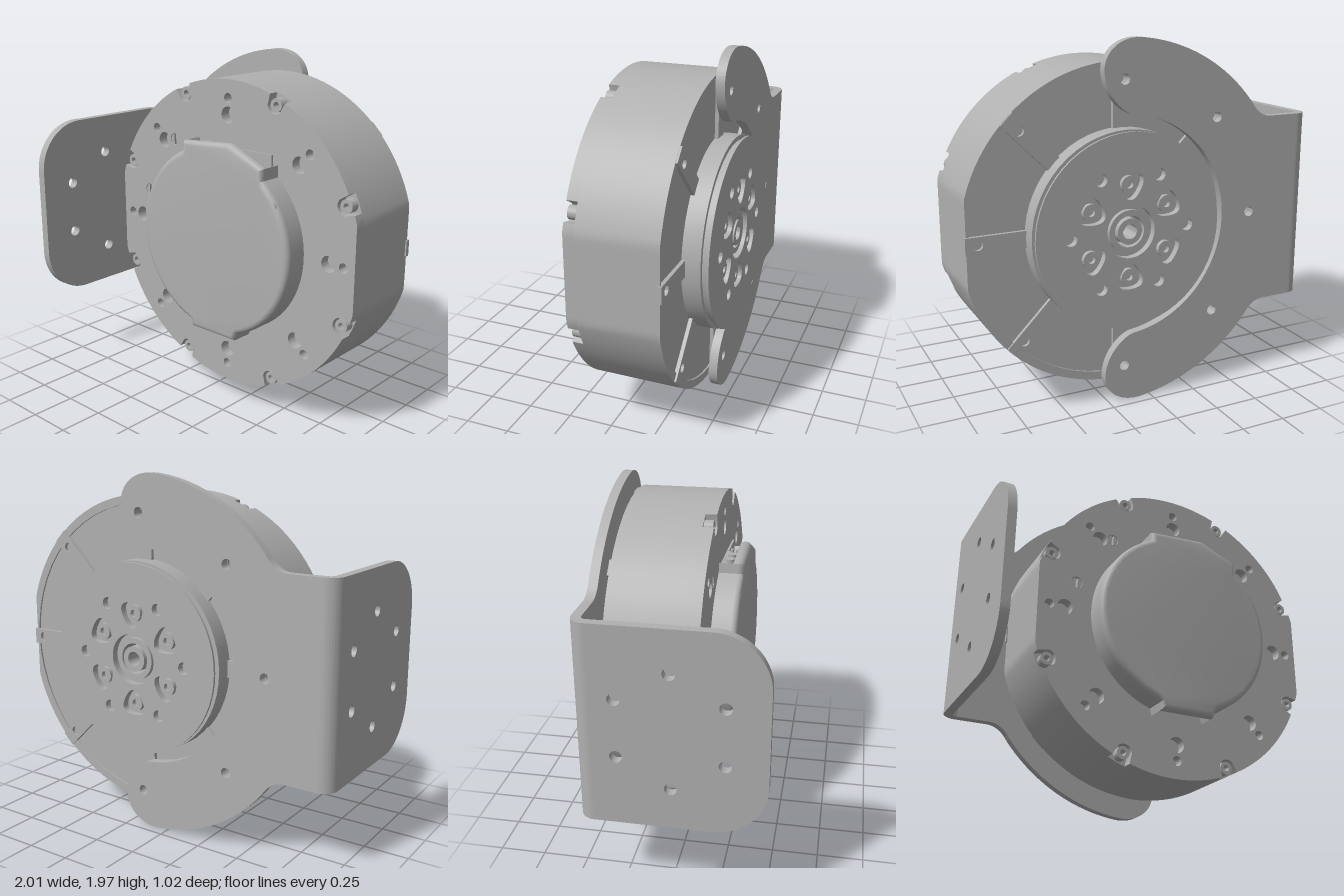
import * as THREE from 'three';
import { toCreasedNormals } from 'three/addons/utils/BufferGeometryUtils.js';

const PI = Math.PI, RAD = PI / 180;
const grey = new THREE.MeshStandardMaterial({ color: 0xb0b0b0 });
grey.name = 'plain grey';

const polar = (r, a) => new THREE.Vector2(r * Math.cos(a), r * Math.sin(a));
const eight = [0, 1, 2, 3, 4, 5, 6, 7].map(i => i * PI / 4);
const six = [0, 1, 2, 3, 4, 5].map(i => i * PI / 3);

function add(parent, name, geometry) {
  const mesh = new THREE.Mesh(geometry, grey);
  mesh.name = name;
  parent.add(mesh);
  return mesh;
}

// Flat outline raised from z0 to z1, smooth round its curves
function slab(shape, z0, z1, bevel = 0) {
  const geo = new THREE.ExtrudeGeometry(shape, {
    depth: z1 - z0 - 2 * bevel, curveSegments: 28, bevelEnabled: bevel > 0,
    bevelThickness: bevel, bevelSize: bevel, bevelOffset: -bevel, bevelSegments: 4,
  });
  geo.translate(0, 0, z0 + bevel);
  return toCreasedNormals(geo, 0.6);
}

function circle(p, r, Type = THREE.Path) {
  const c = new Type();
  c.absarc(p.x, p.y, r, 0, 2 * PI, false);
  return c;
}

// Round part along z, centred on p
function disc(parent, name, p, r, z0, z1, sides = 24) {
  const geo = new THREE.CylinderGeometry(r, r, z1 - z0, sides);
  geo.rotateX(PI / 2);
  geo.translate(p.x, p.y, (z0 + z1) / 2);
  return add(parent, name, geo);
}

// Washer shape part
function ring(parent, name, p, outer, inner, z0, z1) {
  const s = circle(p, outer, THREE.Shape);
  s.holes.push(circle(p, inner));
  return add(parent, name, slab(s, z0, z1));
}

// Round motor outline with two side flats and optional screw notches
function bodyOutline(notched) {
  const pts = [], n = 720, R = 0.87, rs = 0.832, rn = 0.05;
  for (let i = 0; i < n; i++) {
    const a = i / n * 2 * PI;
    let r = Math.min(R, 0.8375 / Math.abs(Math.cos(a)));
    const step = PI / 4, d = (((a % step) + step) % step) - step / 2;
    const t = rs * Math.sin(d);
    const cut = notched && Math.abs(t) < rn;
    if (cut) r = rs - Math.sqrt(rn * rn - t * t);
    if (cut || i % 4 === 0 || Math.abs(d) < 0.08) pts.push(polar(r, a));
  }
  return new THREE.Shape(pts);
}

// Rounded triangular pocket pointing at the axis
function pocket(a) {
  const c = polar(0.25, a);
  const k = [60, 180, 300].map(t => polar(0.125, a + t * RAD).add(c));
  const mid = k.map((v, i) => v.clone().add(k[(i + 1) % 3]).multiplyScalar(0.5));
  const p = new THREE.Path();
  p.moveTo(mid[2].x, mid[2].y);
  for (let i = 0; i < 3; i++) p.quadraticCurveTo(k[i].x, k[i].y, mid[i].x, mid[i].y);
  return p;
}

function buildBody(motor) {
  add(motor, 'motorBody', slab(bodyOutline(false), -0.375, 0.05));
  const plate = bodyOutline(true);
  const slotted = [new THREE.Vector2(-0.4, 0.495), new THREE.Vector2(-0.615, 0.165)];
  for (const a of eight) {
    plate.holes.push(circle(polar(0.68, a), 0.045), circle(polar(0.77, a), 0.027));
  }
  for (const p of slotted) plate.holes.push(circle(p, 0.034));
  add(motor, 'frontPlate', slab(plate, 0.05, 0.11));

  // Slotted plugs, each two halves with a gap
  for (const p of slotted) {
    for (const side of [0, PI]) {
      const half = new THREE.Shape();
      half.absarc(0, 0, 0.031, side - PI / 2 + 0.2, side + PI / 2 - 0.2, false);
      add(motor, 'slottedPlug', slab(half, 0.05, 0.107)).position.set(p.x, p.y, 0);
    }
  }
  for (const a of eight) {
    // Front rim screws
    const p = polar(0.828, a + PI / 8);
    ring(motor, 'rimScrew', p, 0.036, 0.017, 0.05, 0.1);
    // Raised rear ribs with their screw holes
    const rib = new THREE.Shape();
    const end = a % PI < 0.01 ? 0.845 : 0.868;
    rib.moveTo(0.5, -0.045);
    rib.lineTo(end, -0.045);
    rib.lineTo(end, 0.045);
    rib.lineTo(0.5, 0.045);
    rib.holes.push(circle(polar(0.78, 0), 0.026));
    add(motor, 'rearRib', slab(rib, -0.395, -0.37)).rotation.z = a;
  }
  // Raised rear rim between the ribs
  const rim = bodyOutline(false);
  rim.holes.push(circle(polar(0, 0), 0.825));
  add(motor, 'rearRim', slab(rim, -0.385, -0.37));
}

function buildCover(motor) {
  const arc = (a0, a1) => Array.from({ length: 41 }, (_, i) => polar(0.525, (a0 + (a1 - a0) * i / 40) * RAD));
  const V = (x, y) => new THREE.Vector2(x, y);
  const left = [V(-0.21, 0.535), ...arc(114, 252), V(-0.155, -0.54)];
  const right = [V(0.16, -0.54), V(0.18, -0.5), ...arc(291, 409), V(0.345, 0.46)];
  // Side walls, open above and below
  for (const path of [left, right]) {
    const inner = path.map(p => p.clone().multiplyScalar(0.93)).reverse();
    add(motor, 'coverWall', slab(new THREE.Shape([...path, ...inner]), 0.11, 0.216));
  }
  const lid = new THREE.Shape([...left, ...right, V(0.12, 0.56)]);
  add(motor, 'coverLid', slab(lid, 0.18, 0.25, 0.03));
  disc(motor, 'coverPlug', V(0.41, 0.275), 0.028, 0.15, 0.243);

  // Connector block in the upper opening
  const box = (name, w, h, d, x, y, z) =>
    add(motor, name, new THREE.BoxGeometry(w, h, d)).position.set(x, y, z);
  box('connector', 0.24, 0.1, 0.075, -0.035, 0.46, 0.16);
  box('smallConnector', 0.15, 0.07, 0.045, 0.22, 0.4, 0.155);
  box('connectorRail', 0.5, 0.12, 0.012, 0.06, 0.45, 0.116);
  for (const x of [-0.11, -0.025]) {
    const pin = new THREE.CylinderGeometry(0.026, 0.026, 0.03, 16);
    add(motor, 'connectorPin', pin).position.set(x, 0.515, 0.16);
  }
  for (const z of [0.145, 0.175]) box('connectorPin', 0.03, 0.03, 0.015, 0.055, 0.515, z);
}

function buildHub(motor) {
  const o = new THREE.Vector2();
  ring(motor, 'hub', o, 0.53, 0.11, -0.475, -0.37);
  // Output flange: a groove and a thin disc, both pierced
  for (const [name, r, z0, z1] of [['hubGroove', 0.505, -0.502, -0.475], ['outputDisc', 0.525, -0.515, -0.502]]) {
    const s = circle(o, r, THREE.Shape);
    s.holes.push(circle(o, 0.14));
    for (const a of six) s.holes.push(pocket(a + PI / 6), circle(polar(0.335, a), 0.033));
    add(motor, name, slab(s, z0, z1));
  }
  for (const a of six) ring(motor, 'hubScrew', polar(0.25, a + PI / 6), 0.045, 0.02, -0.5, -0.47);
  ring(motor, 'shaftCollar', o, 0.115, 0.085, -0.5, -0.4);
  ring(motor, 'shaft', o, 0.07, 0.04, -0.505, -0.38);
}

function buildBracket(motor) {
  const z0 = -0.445, z1 = -0.395, ro = 0.08, ri = 0.03, xe = -1.16;
  // Back plate with two crescent arms round the hub
  const s = new THREE.Shape();
  const o1 = polar(0.99, 142 * RAD), t = polar(0.6, 265 * RAD);
  s.moveTo(xe + ro, -0.535);
  s.lineTo(-0.9, -0.535);
  s.quadraticCurveTo(-0.83, -0.535, o1.x, -o1.y);
  s.absarc(0, 0, 0.99, 218 * RAD, 265 * RAD, false);
  s.bezierCurveTo(0.04, -0.99, 0.115, -0.91, 0.115, -0.83);
  s.bezierCurveTo(0.115, -0.72, 0.03, -0.62, t.x, t.y);
  s.absarc(0, 0, 0.6, 265 * RAD, 95 * RAD, true);
  s.bezierCurveTo(0.03, 0.62, 0.115, 0.72, 0.115, 0.83);
  s.bezierCurveTo(0.115, 0.91, 0.04, 0.99, -0.086, 0.986);
  s.absarc(0, 0, 0.99, 95 * RAD, 142 * RAD, false);
  s.quadraticCurveTo(-0.83, 0.535, -0.9, 0.535);
  s.lineTo(xe + ro, 0.535);
  for (const a of [90, 135, 180, 225, 270]) s.holes.push(circle(polar(0.78, a * RAD), 0.028));
  add(motor, 'bracketPlate', slab(s, z0, z1));

  // Quarter round bend, drawn in x and z and raised along y
  const bend = new THREE.Shape();
  bend.absarc(0, 0, ro, PI / 2, PI, false);
  bend.absarc(0, 0, ri, PI, PI / 2, true);
  const bendGeo = slab(bend, -0.535, 0.535);
  bendGeo.rotateX(-PI / 2);
  add(motor, 'bracketBend', bendGeo).position.set(xe + ro, 0, z0 + ro);

  // Side flange with rounded front corners; local x runs forward
  const f = new THREE.Shape(), c = 0.28, e = 0.51;
  f.moveTo(z0 + ro, -0.535);
  f.lineTo(e - c, -0.535);
  f.absarc(e - c, -0.535 + c, c, -PI / 2, 0, false);
  f.absarc(e - c, 0.535 - c, c, 0, PI / 2, false);
  f.lineTo(z0 + ro, 0.535);
  for (const a of six) {
    const p = polar(0.31, a + PI / 6);
    f.holes.push(circle(p.add(new THREE.Vector2(0.03, 0)), 0.032));
  }
  const flange = slab(f, 0, 0.05);
  flange.rotateY(-PI / 2);
  add(motor, 'bracketFlange', flange).position.x = xe + 0.05;
}

export function createModel() {
  const model = new THREE.Group();
  model.name = 'motorWithBracket';
  const motor = new THREE.Group();
  motor.name = 'motor';
  motor.position.set(0.16, 0.995, 0);
  model.add(motor);
  buildBody(motor);
  buildCover(motor);
  buildHub(motor);
  buildBracket(motor);
  return model;
}
